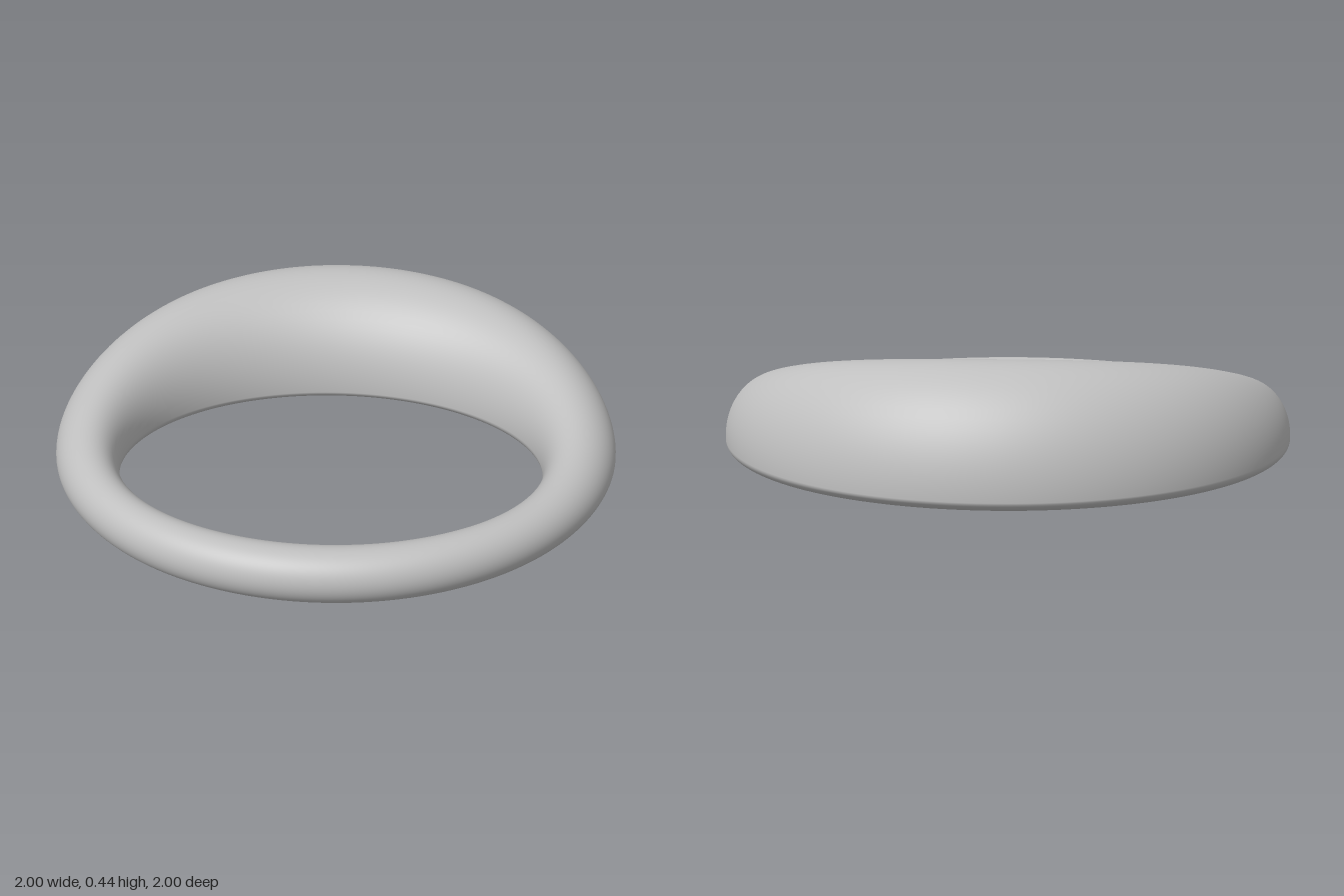
import * as THREE from 'three';

const AROUND = 160; // steps along the ring
const SECTION = 64; // steps around each cross-section

// Height of the ring crest for a given depth of its centre line
function crestHeight(z) {
  const t = THREE.MathUtils.clamp((0.75 - z) / 1.44, 0, 1);
  return 0.18 + 0.265 * t * t * (1.05 + 0.8 * t - 0.85 * t * t);
}

// Domed cross-sections swept between a round outer rim and an offset oval hole
function ringGeometry() {
  const positions = [];
  const indices = [];
  for (let i = 0; i < AROUND; i++) {
    const a = (i / AROUND) * Math.PI * 2; // 0 is the thick back
    const outer = new THREE.Vector2(Math.sin(a), -Math.cos(a));
    const inner = new THREE.Vector2(-0.005 + 0.737 * Math.sin(a), 0.22 - 0.603 * Math.cos(a));
    const centre = outer.clone().add(inner).multiplyScalar(0.5);
    const half = outer.clone().sub(inner).multiplyScalar(0.5);
    const top = crestHeight(centre.y);
    // Widest level: mid-height at the thin front, low at the tall back
    const waist = 0.09 - 0.025 * (top - 0.18) / 0.265;

    for (let j = 0; j < SECTION; j++) {
      const p = (j / SECTION) * Math.PI * 2;
      const c = Math.cos(p);
      const s = Math.sin(p);
      positions.push(
        centre.x + half.x * c,
        waist + s * (s > 0 ? top - waist : waist),
        centre.y + half.y * c
      );
      const i2 = (i + 1) % AROUND;
      const j2 = (j + 1) % SECTION;
      const A = i * SECTION + j;
      const B = i * SECTION + j2;
      const C = i2 * SECTION + j2;
      const D = i2 * SECTION + j;
      indices.push(A, B, D, B, C, D);
    }
  }
  const geometry = new THREE.BufferGeometry();
  geometry.setAttribute('position', new THREE.Float32BufferAttribute(positions, 3));
  geometry.setIndex(indices);
  geometry.computeVertexNormals();
  return geometry;
}

export function createModel() {
  const group = new THREE.Group();
  group.name = 'taperedRing';
  const grey = new THREE.MeshStandardMaterial({ color: 0xbfbfbf });
  grey.name = 'light grey';
  const ring = new THREE.Mesh(ringGeometry(), grey);
  ring.name = 'ringBody';
  group.add(ring);
  return group;
}
